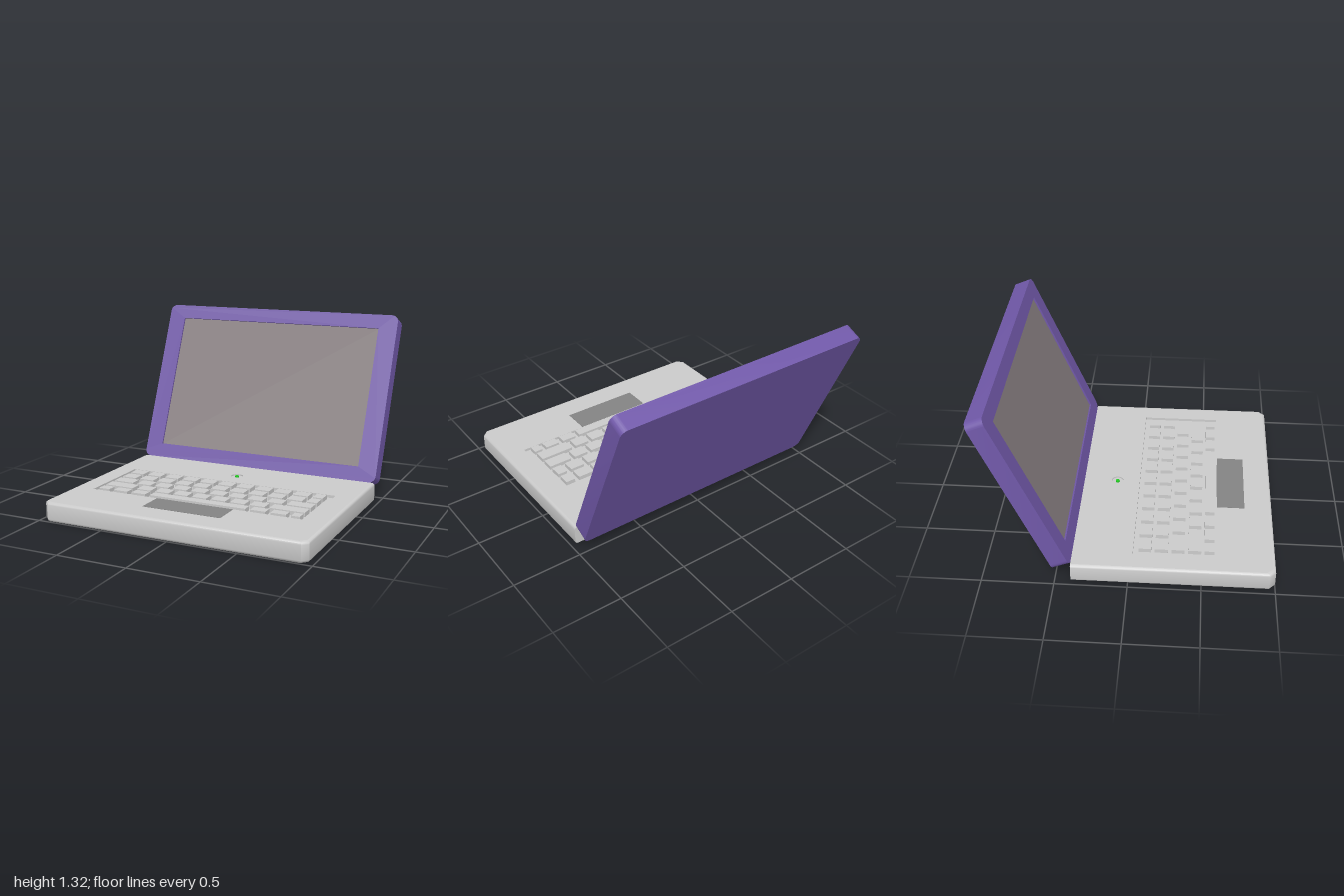
import * as THREE from 'three';
import { toCreasedNormals } from 'three/addons/utils/BufferGeometryUtils.js';

const mat = (color) => new THREE.MeshStandardMaterial({ color, side: THREE.DoubleSide });
const grey = mat(0xcccccc);
const purple = mat(0x7058a8);
const screenGrey = mat(0x857c7e);
const padGrey = mat(0x848484);
const green = mat(0x22cc22);

const W = 0.965, BACK = -0.39, FRONT = 1, BASE_H = 0.14;

function add(parent, name, geometry, material, x = 0, y = 0, z = 0) {
  const mesh = new THREE.Mesh(geometry, material);
  mesh.name = name;
  mesh.position.set(x, y, z);
  parent.add(mesh);
  return mesh;
}

// Outlines are counter-clockwise 2D points (x, -z), as seen from above
const rectOutline = (x0, x1, z0, z1) =>
  [[x1, -z1], [x1, -z0], [x0, -z0], [x0, -z1]].map((p) => new THREE.Vector2(...p));

const circleOutline = (cx, cz, r, n = 32) => Array.from({ length: n }, (_, i) => {
  const a = (i / n) * Math.PI * 2;
  return new THREE.Vector2(cx + r * Math.cos(a), -cz + r * Math.sin(a));
});

// Base outline: square back, chamfered front corners, inset by i on the sides and front
function baseOutline(i) {
  const w = W - i, f = FRONT - i, c = 0.04;
  return [[w, -f + c], [w, -BACK], [-w, -BACK], [-w, -f + c], [-w + c, -f], [w - c, -f]]
    .map((p) => new THREE.Vector2(...p));
}

// Wall through a stack of rings { pts, y }
function loft(rings, crease = 0.6) {
  const pos = [];
  const put = (ring, i) => {
    const p = ring.pts[i % ring.pts.length];
    pos.push(p.x, ring.y, -p.y);
  };
  for (let k = 0; k + 1 < rings.length; k++) {
    const a = rings[k], b = rings[k + 1];
    for (let i = 0; i < a.pts.length; i++) {
      put(a, i); put(a, i + 1); put(b, i + 1);
      put(a, i); put(b, i + 1); put(b, i);
    }
  }
  const g = new THREE.BufferGeometry();
  g.setAttribute('position', new THREE.Float32BufferAttribute(pos, 3));
  return toCreasedNormals(g, crease);
}

// Flat horizontal face with optional holes
function cap(pts, holes = []) {
  const shape = new THREE.Shape(pts);
  holes.forEach((h) => shape.holes.push(new THREE.Path(h)));
  return new THREE.ShapeGeometry(shape).rotateX(-Math.PI / 2);
}

function well(parent, name, pts, depth) {
  add(parent, name + 'Walls', loft([{ pts, y: BASE_H }, { pts, y: BASE_H - depth }]), grey);
  add(parent, name + 'Floor', cap(pts), grey, 0, BASE_H - depth);
}

function makeBase() {
  const base = new THREE.Group();
  base.name = 'base';
  const r = 0.02, rings = [];
  for (let k = 0; k <= 3; k++) {
    const a = (k * Math.PI) / 6;
    rings.push({ pts: baseOutline(r * (1 - Math.sin(a))), y: r * (1 - Math.cos(a)) });
  }
  for (let k = 3; k >= 0; k--) rings.push({ pts: rings[k].pts, y: BASE_H - rings[k].y });
  const tray = rectOutline(-0.815, 0.808, 0.025, 0.6);
  const button = circleOutline(-0.027, -0.142, 0.043);

  add(base, 'baseSides', loft(rings), grey);
  add(base, 'baseTop', cap(rings[0].pts, [tray, button]), grey, 0, BASE_H);
  const bottom = add(base, 'baseBottom', cap(rings[0].pts), grey);
  bottom.geometry.rotateX(Math.PI).scale(1, 1, -1);
  // restore the facing that the mirror above reversed
  const idx = bottom.geometry.index.array;
  for (let i = 0; i < idx.length; i += 3) [idx[i], idx[i + 1]] = [idx[i + 1], idx[i]];

  well(base, 'keyboardTray', tray, 0.02);
  well(base, 'powerButton', button, 0.01);
  add(base, 'powerLight', new THREE.CylinderGeometry(0.015, 0.015, 0.01, 24), green, -0.027, BASE_H - 0.005, -0.142);
  add(base, 'trackpad', new THREE.BoxGeometry(0.58, 0.004, 0.198), padGrey, -0.002, BASE_H, 0.704);
  return base;
}

function makeKeys() {
  const keys = new THREE.Group();
  keys.name = 'keys';
  const k = 0.11, gap = 0.036, left = -0.775, right = 0.757;
  const plain = (n) => Array(n).fill(k);
  // z start, z end, key widths; one more key fills each row to the right edge
  const rows = [
    [0.062, 0.15, plain(10)],
    [0.175, 0.265, plain(10)],
    [0.29, 0.38, [0.155, ...plain(8)]],
    [0.405, 0.495, [0.222, ...plain(7)]],
    [0.517, 0.586, [0.085, k, k, 0.73, k, k]],
  ];
  for (const [z0, z1, widths] of rows) {
    let x = left;
    const place = (w) => {
      add(keys, 'key', new THREE.BoxGeometry(w, 0.03, z1 - z0), grey, x + w / 2, 0.135, (z0 + z1) / 2);
      x += w + gap;
    };
    widths.forEach(place);
    place(right - x);
  }
  return keys;
}

function makeLid() {
  const lid = new THREE.Group();
  lid.name = 'lid';
  const h = 1.275, thick = 0.125, recess = 0.015, r = 0.05;
  const outline = () => {
    const s = new THREE.Shape();
    s.absarc(W - r, r, r, -Math.PI / 2, 0);
    s.absarc(W - r, h - r, r, 0, Math.PI / 2);
    s.absarc(-W + r, h - r, r, Math.PI / 2, Math.PI);
    s.absarc(-W + r, r, r, Math.PI, Math.PI * 1.5);
    return s;
  };
  const extrude = (shape, depth) => toCreasedNormals(
    new THREE.ExtrudeGeometry(shape, { depth, bevelEnabled: false, curveSegments: 8 }), 0.6);

  // Solid back shell with the screen set behind a frame
  const x0 = -0.828, x1 = 0.823, y0 = 0.108, y1 = 1.167;
  const frame = outline();
  frame.holes.push(new THREE.Path([[x0, y0], [x0, y1], [x1, y1], [x1, y0]].map((p) => new THREE.Vector2(...p))));
  add(lid, 'lidShell', extrude(outline(), thick - recess), purple, 0, 0, -thick);
  add(lid, 'screenFrame', extrude(frame, recess), purple, 0, 0, -recess);
  add(lid, 'screen', new THREE.PlaneGeometry(x1 - x0, y1 - y0), screenGrey,
    (x0 + x1) / 2, (y0 + y1) / 2, -recess + 0.002);

  // Hinged on the top back edge of the base, leaning back
  lid.position.set(0, BASE_H, BACK);
  lid.rotation.x = -0.3986;
  return lid;
}

export function createModel() {
  const model = new THREE.Group();
  model.name = 'laptop';
  model.add(makeBase(), makeKeys(), makeLid());
  return model;
}
